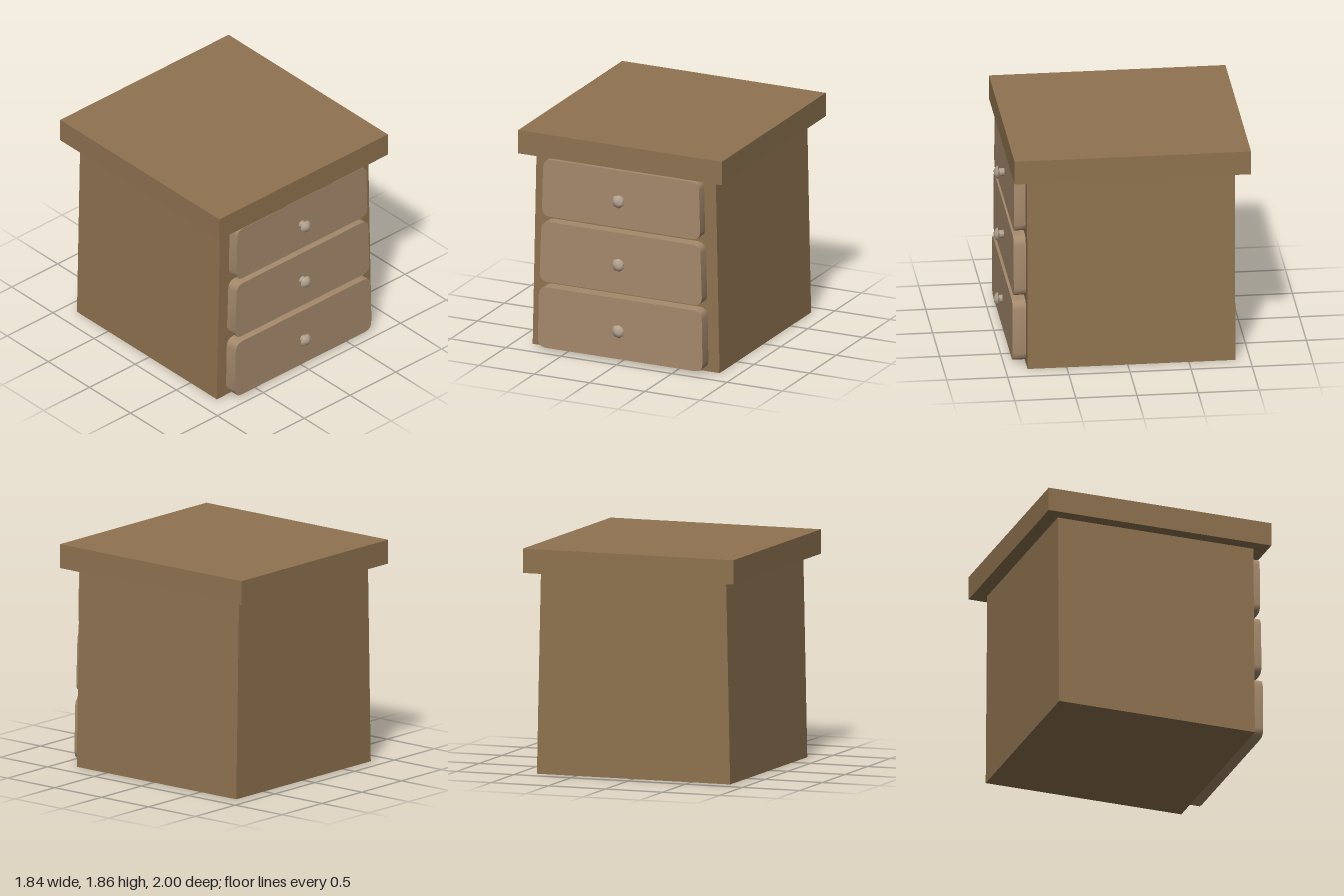
import * as THREE from 'three';
import { toCreasedNormals } from 'three/addons/utils/BufferGeometryUtils.js';

const wood = new THREE.MeshStandardMaterial({ color: 0x8f7350 });
const paleWood = new THREE.MeshStandardMaterial({ color: 0xa58a6c });
const metal = new THREE.MeshStandardMaterial({ color: 0xb3a28e });

function addMesh(parent, name, geometry, material) {
  const mesh = new THREE.Mesh(geometry, material);
  mesh.name = name;
  parent.add(mesh);
  return mesh;
}

// Upright tapered board from z0 to z1, with optional rounded corners
function taperedBoard(y0, y1, half0, half1, z0, z1, r = 0) {
  const corners = [[-half0, y0], [half0, y0], [half1, y1], [-half1, y1]]
    .map(([x, y]) => new THREE.Vector2(x, y));
  const points = corners.flatMap((corner, i) => {
    if (!r) return [corner];
    const toward = (j) => corners[j % 4].clone().sub(corner).setLength(r).add(corner);
    return new THREE.QuadraticBezierCurve(toward(i + 3), corner, toward(i + 1)).getPoints(3);
  });
  const geometry = new THREE.ExtrudeGeometry(new THREE.Shape(points), {
    depth: z1 - z0, bevelEnabled: false,
  });
  geometry.translate(0, 0, z0);
  return toCreasedNormals(geometry, 0.8);
}

// Seven-sided knob pointing forward: stem, flared rim and flattened dome
function knobGeometry(zBase) {
  const profile = [
    [0.034, zBase], [0.034, 0.955], [0.034, 0.958], [0.057, 0.967],
    [0.046, 0.983], [0.022, 0.998], [0, 1],
  ].map(([r, z]) => new THREE.Vector2(r, z));
  const geometry = new THREE.LatheGeometry(profile, 7, -Math.PI / 2);
  geometry.rotateX(Math.PI / 2);
  return toCreasedNormals(geometry, 1);
}

export function createModel() {
  const model = new THREE.Group();
  model.name = 'nightstand';

  // Cabinet, slightly wider at the floor
  addMesh(model, 'cabinet', taperedBoard(0, 1.66, 0.845, 0.81, -0.88, 0.82), wood);

  // Overhanging top slab
  addMesh(model, 'tabletop', new THREE.BoxGeometry(1.84, 0.2, 1.935), wood)
    .position.set(0, 1.76, -0.0325);

  // Three drawers, each with a knob
  const drawers = [
    { name: 'bottomDrawer', y0: 0.025, y1: 0.545, half0: 0.745, half1: 0.735, front: 0.93, knobY: 0.275 },
    { name: 'middleDrawer', y0: 0.59, y1: 1.105, half0: 0.735, half1: 0.717, front: 0.92, knobY: 0.845 },
    { name: 'topDrawer', y0: 1.15, y1: 1.64, half0: 0.716, half1: 0.703, front: 0.915, knobY: 1.39 },
  ];
  for (const d of drawers) {
    const drawer = new THREE.Group();
    drawer.name = d.name;
    addMesh(drawer, 'drawerFront',
      taperedBoard(d.y0, d.y1, d.half0, d.half1, 0.81, d.front, 0.07), paleWood);
    addMesh(drawer, 'knob', knobGeometry(d.front - 0.01), metal)
      .position.set(-0.003, d.knobY, 0);
    model.add(drawer);
  }
  return model;
}
